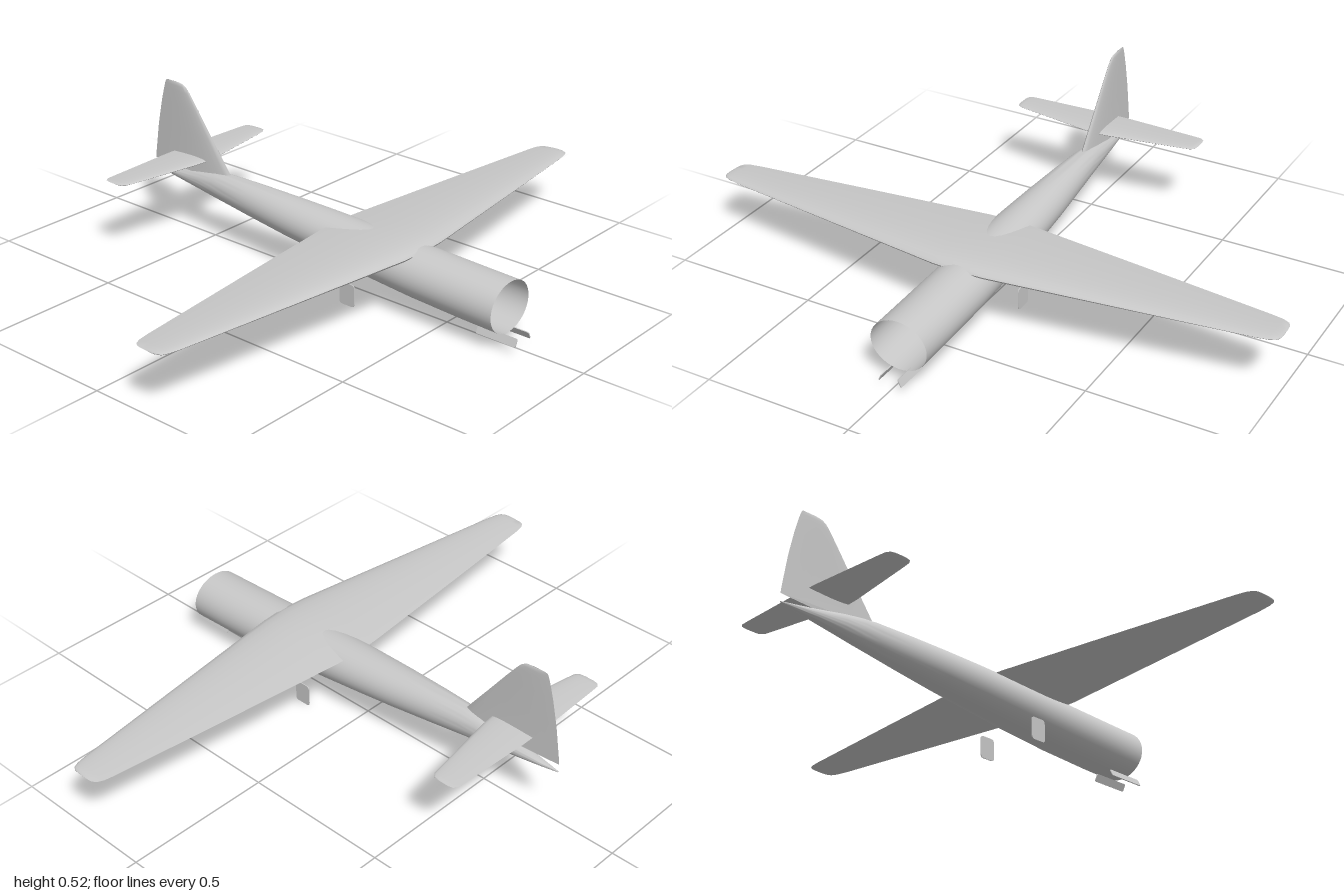
import * as THREE from 'three';
import { toCreasedNormals } from 'three/addons/utils/BufferGeometryUtils.js';

const V = (x, y, z) => new THREE.Vector3(x, y, z);

// Skin a row of closed rings that all have the same number of points
function loft(rings, crease = 0.9) {
  const n = rings[0].length, pos = [], index = [];
  rings.forEach(r => r.forEach(p => pos.push(p.x, p.y, p.z)));
  for (let i = 0; i < rings.length - 1; i++) {
    for (let j = 0; j < n; j++) {
      const k = (j + 1) % n;
      const a = i * n + j, d = i * n + k, b = a + n, c = d + n;
      index.push(a, d, c, a, c, b);
    }
  }
  const g = new THREE.BufferGeometry();
  g.setAttribute('position', new THREE.Float32BufferAttribute(pos, 3));
  g.setIndex(index);
  return toCreasedNormals(g, crease);
}

// Airfoil outline as [z, offset] pairs: trailing edge, upper side, nose, lower side
function airfoil(lead, trail, half, n = 12) {
  const pts = [];
  for (let i = 0; i < 2 * n; i++) {
    const a = (i / n) * Math.PI;
    const s = (1 + Math.cos(a)) / 2;
    const t = 2 * (1.4845 * Math.sqrt(s) - 0.63 * s - 1.758 * s * s + 1.4215 * s ** 3 - 0.518 * s ** 4);
    pts.push([lead + (trail - lead) * s, (i <= n ? 1 : -1) * half * t]);
  }
  return pts;
}

// Full-span surface; stations are [x, leading z, trailing z, half thickness, y]
function span(stations) {
  const left = stations.slice(1).reverse().map(([x, ...r]) => [-x, ...r]);
  return loft([...left, ...stations].map(([x, lead, trail, half, y]) =>
    airfoil(lead, trail, half).map(([z, o]) => V(x, y + o, z))));
}

export function createModel() {
  const model = new THREE.Group();
  const grey = new THREE.MeshStandardMaterial({ color: 0xc8c8c8, side: THREE.DoubleSide });
  grey.name = 'light grey';
  const add = (name, geometry) => {
    const mesh = new THREE.Mesh(geometry, grey);
    mesh.name = name;
    model.add(mesh);
    return mesh;
  };

  // Fuselage, open at the nose: [z, half width, bottom y, top y]
  const body = [
    [-0.78, 0.002, 0.187, 0.191], [-0.72, 0.012, 0.179, 0.199], [-0.65, 0.021, 0.17, 0.21],
    [-0.55, 0.033, 0.157, 0.229], [-0.48, 0.04, 0.147, 0.239], [-0.42, 0.046, 0.14, 0.243],
    [-0.3, 0.058, 0.126, 0.243], [-0.15, 0.072, 0.11, 0.24], [0, 0.082, 0.095, 0.236],
    [0.2, 0.092, 0.075, 0.229], [0.4, 0.097, 0.059, 0.223], [0.6, 0.098, 0.049, 0.216],
    [0.73, 0.098, 0.045, 0.212],
  ];
  add('fuselage', loft(body.map(([z, w, lo, hi]) =>
    Array.from({ length: 40 }, (_, i) => {
      const a = (i / 40) * Math.PI * 2;
      return V(w * Math.cos(a), (lo + hi) / 2 + (hi - lo) / 2 * Math.sin(a), z);
    }))));

  // Tapered wing with rounded tips
  add('wing', span([
    [0, 0.405, 0.05, 0.022, 0.212], [0.09, 0.4, 0.055, 0.021, 0.211],
    [0.5, 0.344, 0.1, 0.014, 0.209], [0.93, 0.285, 0.149, 0.007, 0.207],
    [0.97, 0.277, 0.156, 0.006, 0.207], [0.99, 0.268, 0.166, 0.005, 0.207],
    [0.998, 0.255, 0.18, 0.003, 0.207], [1, 0.24, 0.2, 0.0005, 0.207],
  ]));

  // Tailplane
  add('tailplane', span([
    [0, -0.525, -0.682, 0.007, 0.268], [0.05, -0.53, -0.682, 0.007, 0.268],
    [0.3, -0.571, -0.671, 0.004, 0.268], [0.33, -0.577, -0.669, 0.004, 0.268],
    [0.342, -0.587, -0.66, 0.003, 0.268], [0.346, -0.605, -0.645, 0.0005, 0.268],
  ]));

  // Fin: [y, leading z, trailing z, half thickness]
  const fin = [
    [0.217, -0.41, -0.782, 0.014], [0.245, -0.422, -0.778, 0.012],
    [0.35, -0.5, -0.761, 0.009], [0.44, -0.566, -0.741, 0.006],
    [0.49, -0.604, -0.727, 0.005], [0.508, -0.62, -0.721, 0.004],
    [0.517, -0.636, -0.717, 0.003], [0.521, -0.66, -0.713, 0.0005],
  ];
  add('fin', loft(fin.map(([y, lead, trail, half]) =>
    airfoil(lead, trail, half).map(([z, o]) => V(-o, y, z)))));

  // Rounded plate in the z-y plane
  function plate(length, height, r, t) {
    const s = new THREE.Shape(), w = length / 2, h = height / 2;
    s.moveTo(-w + r, -h).lineTo(w - r, -h).quadraticCurveTo(w, -h, w, -h + r)
      .lineTo(w, h - r).quadraticCurveTo(w, h, w - r, h)
      .lineTo(-w + r, h).quadraticCurveTo(-w, h, -w, h - r)
      .lineTo(-w, -h + r).quadraticCurveTo(-w, -h, -w + r, -h);
    return new THREE.ExtrudeGeometry(s, { depth: t, bevelEnabled: false, curveSegments: 4 })
      .translate(0, 0, -t / 2).rotateY(Math.PI / 2);
  }

  // Gear doors hang beside the body; nose doors splay outward
  for (const [side, sx] of [['left', 1], ['right', -1]]) {
    add(side + 'GearDoor', plate(0.06, 0.077, 0.012, 0.003)).position.set(sx * 0.114, 0.0385, 0.19);
    const door = add(side + 'NoseDoor', plate(0.145, 0.027, 0.006, 0.003));
    door.position.set(sx * 0.034, 0.037, 0.711);
    door.rotation.z = sx * 0.45;
  }
  return model;
}
